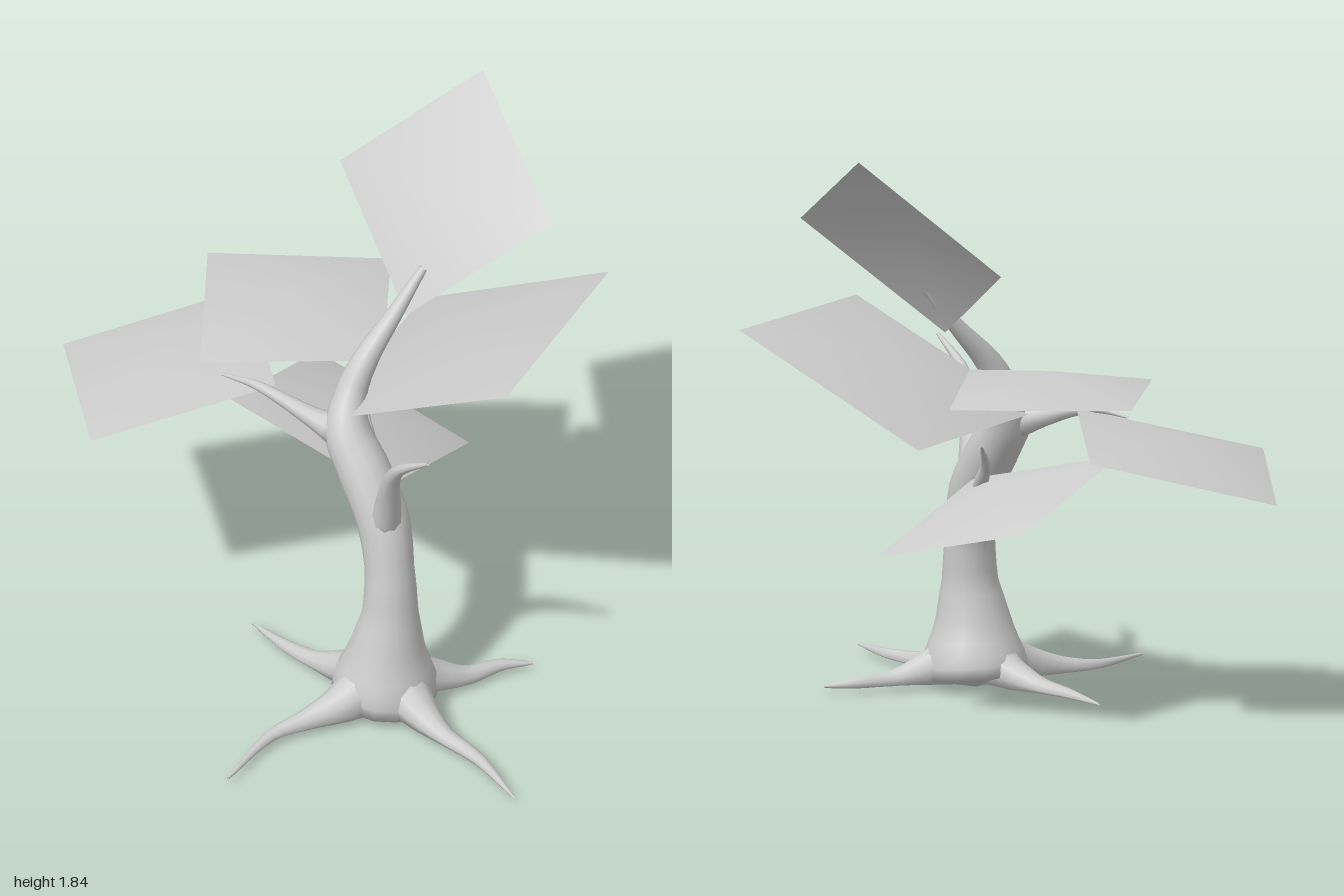
import * as THREE from 'three';
import { mergeVertices } from 'three/addons/utils/BufferGeometryUtils.js';

const grey = new THREE.MeshStandardMaterial({ color: 0xcccccc, side: THREE.DoubleSide });
grey.name = 'plain grey';

// Tapered tube through stations [x, y, z, radius]; floor flattens the underside.
function limb(name, stations, { sides = 10, steps = 16, floor = 0 } = {}) {
  const curve = new THREE.CatmullRomCurve3(stations.map(s => new THREE.Vector3(s[0], s[1], s[2])));
  const tube = new THREE.TubeGeometry(curve, steps, 1, sides);
  const pos = tube.attributes.position;
  const v = new THREE.Vector3();
  for (let i = 0; i <= steps; i++) {
    const centre = curve.getPointAt(i / steps);
    const t = curve.getUtoTmapping(i / steps) * (stations.length - 1);
    const k = Math.min(Math.floor(t), stations.length - 2);
    const r = i === 0 ? 0 : THREE.MathUtils.lerp(stations[k][3], stations[k + 1][3], t - k);
    for (let j = 0; j <= sides; j++) {
      const n = i * (sides + 1) + j;
      v.fromBufferAttribute(pos, n).sub(centre).multiplyScalar(r).add(centre);
      pos.setXYZ(n, v.x, Math.max(v.y, floor), v.z);
    }
  }
  tube.deleteAttribute('uv');
  tube.deleteAttribute('normal');
  const geometry = mergeVertices(tube, 1e-5);
  geometry.computeVertexNormals();
  const mesh = new THREE.Mesh(geometry, grey);
  mesh.name = name;
  return mesh;
}

// Foliage card: four corners with a gently raised centre.
function leafCard(name, corners) {
  const p = corners.map(c => new THREE.Vector3(...c));
  const centre = new THREE.Vector3();
  p.forEach(c => centre.addScaledVector(c, 0.25));
  const normal = p[2].clone().sub(p[0]).cross(p[3].clone().sub(p[1])).normalize();
  if (normal.y < 0) {
    p.reverse();
    normal.negate();
  }
  centre.addScaledVector(normal, 0.07);
  const geometry = new THREE.BufferGeometry().setFromPoints([...p, centre]);
  geometry.setIndex([0, 1, 4, 1, 2, 4, 2, 3, 4, 3, 0, 4]);
  geometry.computeVertexNormals();
  const mesh = new THREE.Mesh(geometry, grey);
  mesh.name = name;
  return mesh;
}

export function createModel() {
  const tree = new THREE.Group();
  tree.name = 'tree';

  // Leaning trunk, running on into the top branch
  tree.add(limb('trunk', [
    [0.32, 0, 0.1, 0.17], [0.33, 0.1, 0.1, 0.165], [0.335, 0.2, 0.1, 0.125], [0.34, 0.35, 0.09, 0.088],
    [0.325, 0.5, 0.075, 0.078], [0.28, 0.65, 0.05, 0.085], [0.19, 0.79, 0.03, 0.085],
    [0.11, 0.9, 0.01, 0.075], [0.085, 1.0, -0.04, 0.052], [0.095, 1.1, -0.1, 0.042],
    [0.125, 1.23, -0.22, 0.026], [0.155, 1.355, -0.325, 0.014],
  ], { sides: 14, steps: 40 }));

  // Side branches
  tree.add(limb('leftBranch', [
    [0.29, 0.62, 0.06, 0.06], [0.33, 0.74, 0.09, 0.044], [0.37, 0.86, 0.13, 0.032],
    [0.44, 0.98, 0.18, 0.02], [0.58, 1.085, 0.21, 0.006],
  ]));
  tree.add(limb('rightBranch', [
    [0.1, 0.89, 0.02, 0.06], [0, 0.915, 0.04, 0.034], [-0.1, 0.945, 0.055, 0.023],
    [-0.21, 0.966, 0.065, 0.015], [-0.34, 0.953, 0.07, 0.004],
  ]));
  tree.add(limb('backBranch', [
    [0.22, 0.63, 0, 0.05], [0.13, 0.67, -0.1, 0.033], [0.06, 0.74, -0.17, 0.022],
    [0.02, 0.79, -0.2, 0.017], [-0.035, 0.865, -0.28, 0.005],
  ]));

  // Four spreading roots, flat underneath
  const roots = {
    frontRoot: [[0.32, 0.1, 0.12, 0.1], [0.28, 0.055, 0.27, 0.065], [0.23, 0.035, 0.38, 0.037],
      [0.185, 0.025, 0.5, 0.022], [0.21, 0.022, 0.765, 0.004]],
    leftRoot: [[0.36, 0.1, 0.1, 0.1], [0.51, 0.05, 0.15, 0.058], [0.62, 0.03, 0.18, 0.033],
      [0.78, 0.025, 0.21, 0.022], [0.99, 0.02, 0.3, 0.004]],
    rightRoot: [[0.3, 0.1, 0.1, 0.1], [0.17, 0.055, 0.1, 0.058], [0.05, 0.03, 0.1, 0.033],
      [-0.07, 0.025, 0.09, 0.022], [-0.235, 0.022, 0.05, 0.004]],
    backRoot: [[0.35, 0.1, 0.08, 0.1], [0.42, 0.055, -0.03, 0.06], [0.48, 0.03, -0.12, 0.034],
      [0.53, 0.03, -0.23, 0.022], [0.6, 0.024, -0.31, 0.004]],
  };
  for (const [name, stations] of Object.entries(roots)) tree.add(limb(name, stations, { floor: 0.018 }));

  // Foliage cards
  const cards = {
    topLeaves: [[0.065, 1.84, -0.755], [0.515, 1.57, -0.52], [0.145, 1.21, -0.25], [-0.3, 1.48, -0.49]],
    leftLeaves: [[0.54, 1.245, -0.785], [0.685, 1.235, -0.06], [0.03, 0.925, 0.05], [-0.11, 0.925, -0.67]],
    upperRightLeaves: [[-0.205, 1.06, -0.63], [-0.675, 1.07, -0.295], [-0.345, 1.06, 0.18], [0.125, 1.08, -0.155]],
    lowerRightLeaves: [[-1, 0.76, 0.03], [-0.56, 0.825, 0.465], [-0.16, 0.965, 0.03], [-0.6, 0.905, -0.405]],
    backLeaves: [[-0.34, 0.835, 0.03], [-0.415, 0.67, -0.525], [0.15, 0.535, -0.57], [0.225, 0.7, -0.02]],
  };
  for (const [name, corners] of Object.entries(cards)) tree.add(leafCard(name, corners));

  return tree;
}
